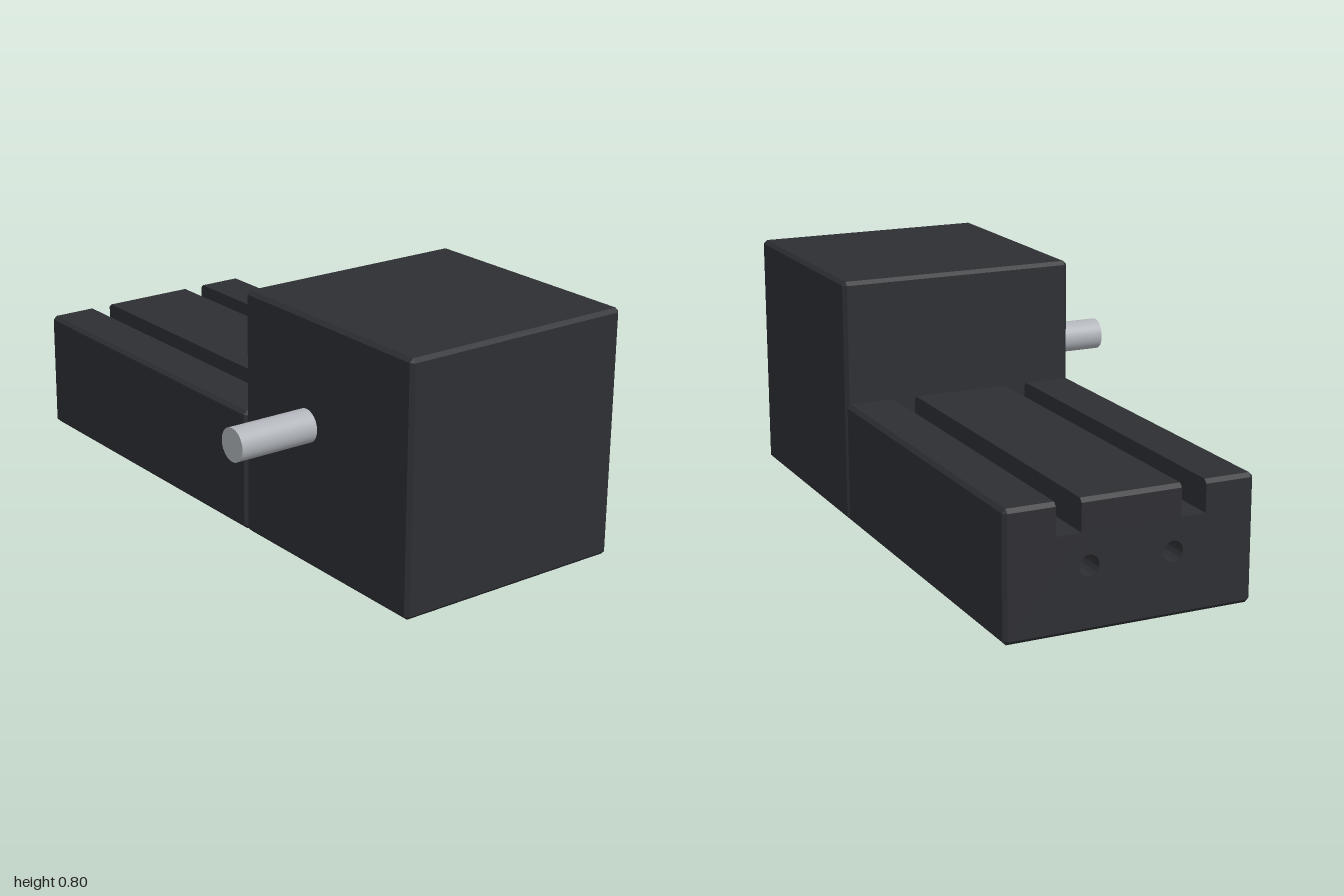
import * as THREE from 'three';
import { toCreasedNormals } from 'three/addons/utils/BufferGeometryUtils.js';

const CHAMFER = 0.012;
const DEPTH_Z = 0.8;      // front-to-back size of both blocks
const CENTER_Z = -0.135;  // their common centre line

// Prism along x with every outer edge chamfered, optional slots in the top and bores through it.
function chamferedPrism(x0, x1, height, { slots = [], slotWidth = 0, slotDepth = 0, bores = [] } = {}) {
  const h = DEPTH_Z / 2, c = CHAMFER;
  const shape = new THREE.Shape();
  shape.moveTo(-h + c, 0);
  shape.lineTo(h - c, 0);
  shape.lineTo(h, c);
  shape.lineTo(h, height - c);
  shape.lineTo(h - c, height);
  for (const s of slots) {
    const r = s + slotWidth / 2, l = s - slotWidth / 2;
    shape.lineTo(r, height);
    shape.lineTo(r, height - slotDepth);
    shape.lineTo(l, height - slotDepth);
    shape.lineTo(l, height);
  }
  shape.lineTo(-h + c, height);
  shape.lineTo(-h, height - c);
  shape.lineTo(-h, c);
  shape.closePath();
  for (const b of bores) {
    const hole = new THREE.Path();
    hole.absarc(b.u, b.y, b.r, 0, Math.PI * 2, true);
    shape.holes.push(hole);
  }

  const geo = new THREE.ExtrudeGeometry(shape, { depth: 3, steps: 3, bevelEnabled: false, curveSegments: 24 });
  // Four rings: the two end rings shrink inward to form the end chamfers
  const rings = [x0, x0 + c, x1 - c, x1];
  const pos = geo.attributes.position;
  for (let i = 0; i < pos.count; i++) {
    const ring = Math.round(pos.getZ(i));
    if (ring === 0 || ring === 3) {
      pos.setX(i, THREE.MathUtils.clamp(pos.getX(i), -h + c, h - c));
      pos.setY(i, THREE.MathUtils.clamp(pos.getY(i), c, height - c));
    }
    pos.setZ(i, rings[ring]);
  }
  geo.rotateY(Math.PI / 2);
  geo.translate(0, 0, CENTER_Z);
  return toCreasedNormals(geo, 0.5);
}

export function createModel() {
  const model = new THREE.Group();
  const dark = new THREE.MeshStandardMaterial({ color: 0x2e2f33 });
  const steel = new THREE.MeshStandardMaterial({ color: 0xb0b4ba });

  const add = (name, geometry, material) => {
    const mesh = new THREE.Mesh(geometry, material);
    mesh.name = name;
    model.add(mesh);
    return mesh;
  };

  // Low bed with two lengthwise slots and two bores in its end
  add('slottedBed', chamferedPrism(-1, 0.2, 0.4, {
    slots: [0.2, -0.2],
    slotWidth: 0.08,
    slotDepth: 0.1,
    bores: [-1, 1].map((s) => ({ u: s * 0.135, y: 0.2, r: 0.032 })),
  }), dark);

  // Tall housing
  add('housing', chamferedPrism(0.2, 1, 0.8), dark);

  // Round shaft leaving the front of the housing
  const shaft = add('shaft', new THREE.CylinderGeometry(0.053, 0.053, 0.29, 48), steel);
  shaft.rotation.x = Math.PI / 2;
  shaft.position.set(0.515, 0.456, 0.39);

  return model;
}
